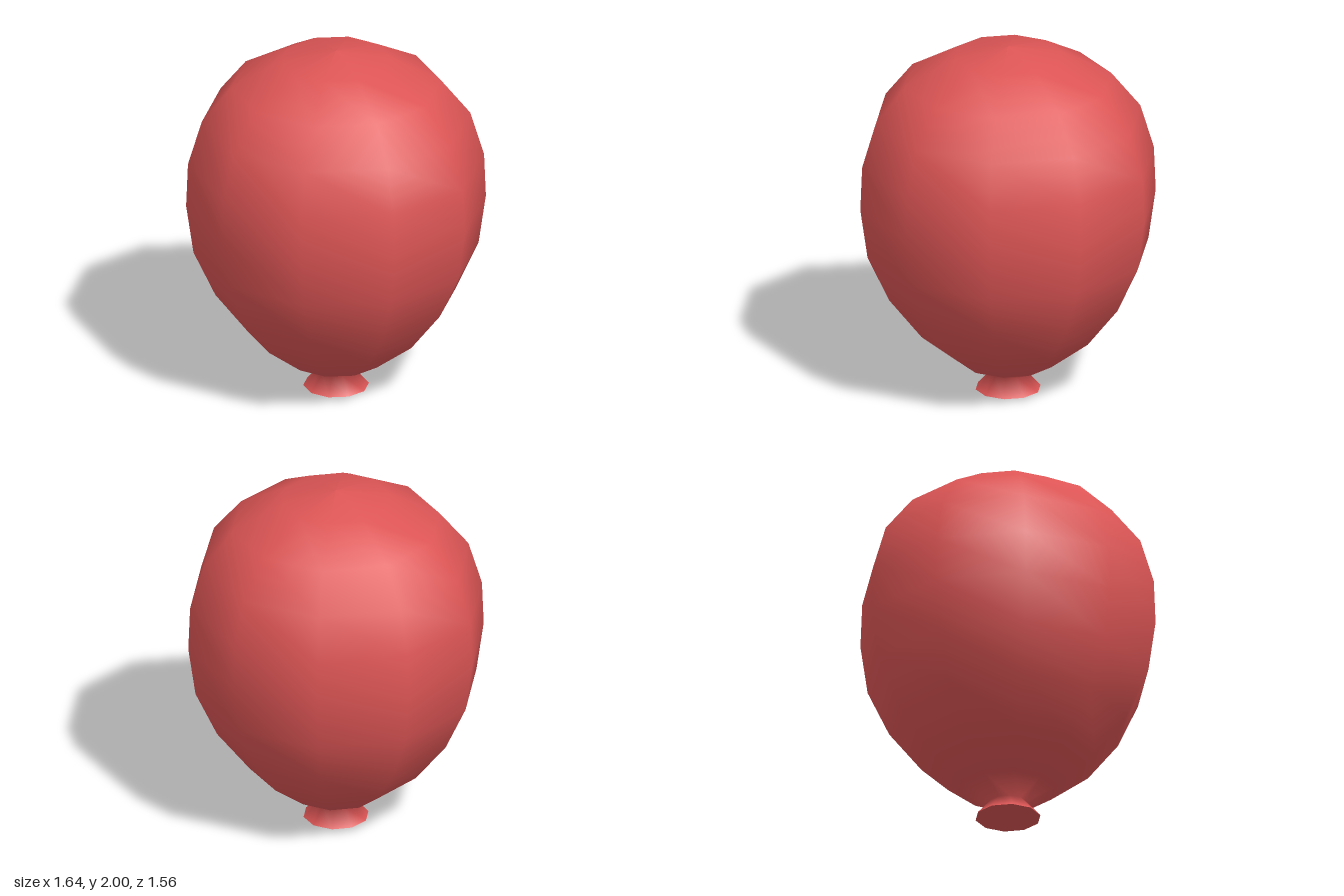
import * as THREE from 'three';

const SIDES = 10;

export function createModel() {
  const model = new THREE.Group();
  model.name = 'balloon';
  const rubber = new THREE.MeshStandardMaterial({ color: 0xdd5555 });

  // Skin: flared lip, pinched neck and egg-shaped body in one smooth sweep
  const profile = [
    [0.18, 0], [0.1, 0.09], [0.26, 0.16], [0.48, 0.33], [0.66, 0.56], [0.78, 0.82],
    [0.82, 1.1], [0.81, 1.35], [0.735, 1.6], [0.575, 1.8], [0.3, 1.95], [0, 2],
  ].map(([r, y]) => new THREE.Vector2(r, y));
  const skin = new THREE.Mesh(new THREE.LatheGeometry(profile, SIDES, Math.PI / 2), rubber);
  skin.name = 'balloonSkin';
  model.add(skin);

  // Flat underside closing the lip
  const base = new THREE.Mesh(new THREE.CircleGeometry(0.18, SIDES).rotateX(Math.PI / 2), rubber);
  base.name = 'lipUnderside';
  model.add(base);

  return model;
}
